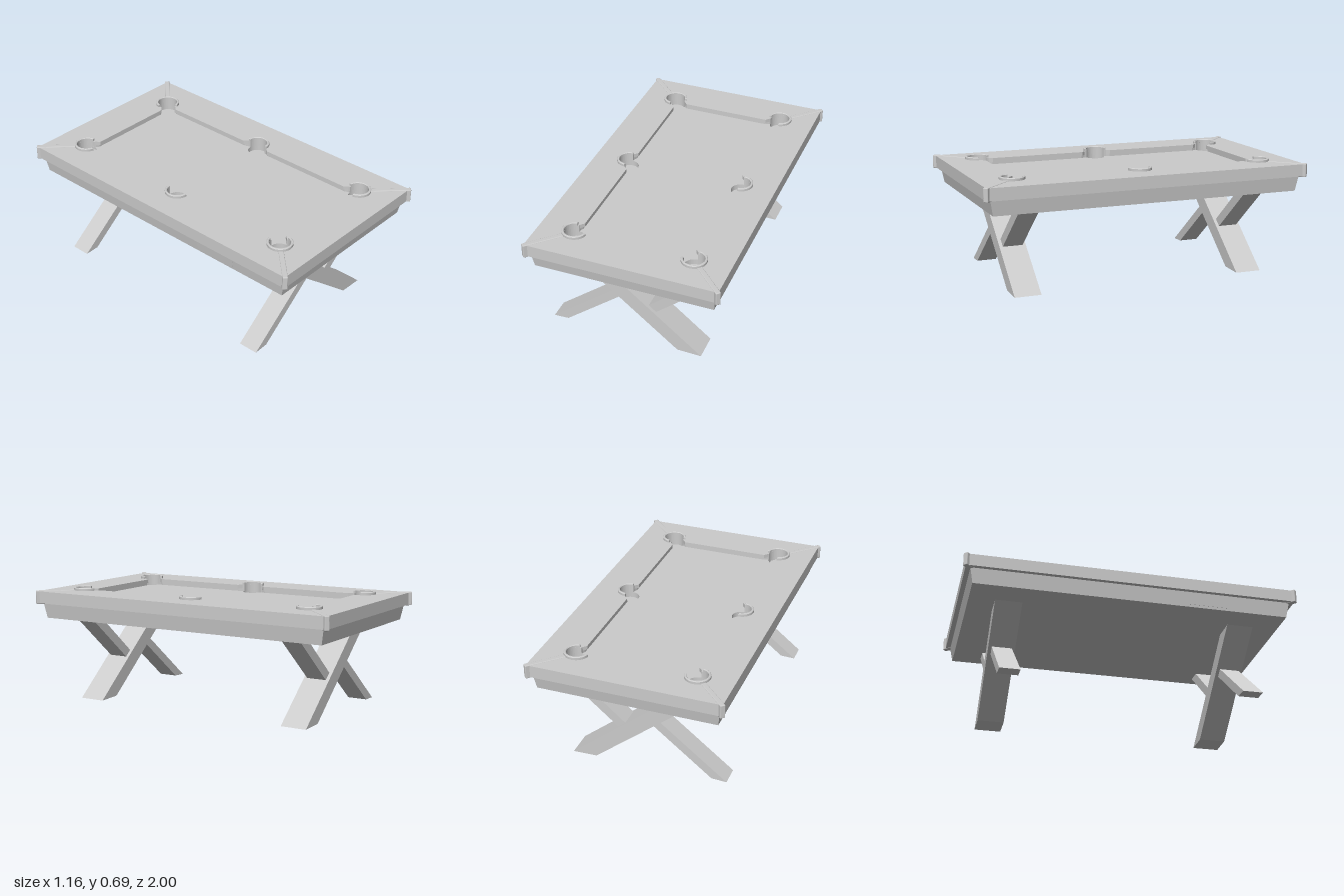
import * as THREE from 'three';
import { RoundedBoxGeometry } from 'three/addons/geometries/RoundedBoxGeometry.js';

const material = new THREE.MeshStandardMaterial({ color: 0xcccccc });

const MID = { x: 0.358, z: 0, r: 0.058 };
const CORNER = { x: 0.356, z: 0.772, r: 0.06 };

function add(parent, name, geometry) {
  const mesh = new THREE.Mesh(geometry, material);
  mesh.name = name;
  parent.add(mesh);
  return mesh;
}

// Extrudes a plan shape upward between two heights
function slab(shape, y0, y1, bevel = 0) {
  const g = new THREE.ExtrudeGeometry(shape, {
    depth: y1 - y0 - bevel, curveSegments: 24, bevelEnabled: bevel > 0,
    bevelSize: bevel, bevelThickness: bevel, bevelOffset: -bevel, bevelSegments: 1,
  });
  g.rotateX(-Math.PI / 2);
  g.translate(0, y0, 0);
  return g;
}

function rectangle(hx, hz) {
  return new THREE.Shape([[-hx, -hz], [hx, -hz], [hx, hz], [-hx, hz]].map(p => new THREE.Vector2(...p)));
}

function arc(c, from, to, n) {
  return Array.from({ length: n + 1 }, (_, i) => {
    const a = from + (to - from) * i / n;
    return new THREE.Vector2(c.x + c.r * Math.cos(a), c.z + c.r * Math.sin(a));
  });
}

// Outline of the playing area: cushions with cut-back ends that open into six pockets
function playOutline(inset) {
  const v = (x, z) => new THREE.Vector2(x, z);
  const quarter = [
    ...arc(MID, 0, Math.PI / 2, 10),
    v(0.356, 0.073), v(0.335 + inset, 0.095), v(0.335 + inset, 0.68), v(0.356, 0.703),
    ...arc(CORNER, -Math.PI / 2, Math.PI, 28),
    v(0.29, 0.766), v(0.27, 0.743 + inset),
  ];
  const flip = (sx, sz) => quarter.map(p => v(p.x * sx, p.y * sz));
  return [...quarter, ...flip(-1, 1).reverse(), ...flip(-1, -1), ...flip(1, -1).reverse()];
}

function rail(y0, y1, inset) {
  const shape = rectangle(0.57, 0.983);
  shape.holes.push(new THREE.Path(playOutline(inset)));
  return slab(shape, y0, y1);
}

// Raised collar that is open on the side facing the playing area
function collar(radius, start, sweep) {
  const s = new THREE.Shape();
  s.absarc(0, 0, radius + 0.014, start, start + sweep, false);
  s.absarc(0, 0, radius, start + sweep, start, true);
  return slab(s, 0.67, 0.693, 0.004);
}

// Leg bar: a side outline extruded along z
function bar(points, z, width) {
  const g = new THREE.ExtrudeGeometry(new THREE.Shape(points.map(p => new THREE.Vector2(...p))),
    { depth: width, bevelEnabled: false });
  g.translate(0, 0, z - width / 2);
  return g;
}

export function createModel() {
  const table = new THREE.Group();
  table.name = 'poolTable';

  // Rails with a cushion nose over a recessed lower part
  add(table, 'lowerRail', rail(0.602, 0.652, 0.012));
  add(table, 'upperRail', rail(0.652, 0.675, 0));

  // Playing bed with pocket holes
  const bedShape = rectangle(0.5, 0.9);
  for (const x of [-1, 1]) for (const z of [-1, 0, 1]) {
    const c = z ? CORNER : MID;
    const hole = new THREE.Path();
    hole.absarc(c.x * x, c.z * z, c.r, 0, Math.PI * 2, true);
    bedShape.holes.push(hole);
  }
  add(table, 'bed', slab(bedShape, 0.6, 0.635));

  // Tapered apron, whose top closes the pockets
  const apron = new THREE.BoxGeometry(1.09, 0.092, 1.91);
  const pos = apron.attributes.position;
  for (let i = 0; i < pos.count; i++) {
    if (pos.getY(i) < 0) pos.setXYZ(i, pos.getX(i) * 0.976, pos.getY(i), pos.getZ(i) * 0.982);
  }
  apron.computeVertexNormals();
  apron.translate(0, 0.556, 0);
  add(table, 'apron', apron);

  // Small return hatch set in one long side of the apron
  const hatch = add(table, 'returnHatch', new THREE.BoxGeometry(0.01, 0.06, 0.26));
  hatch.position.set(-0.535, 0.556, 0.46);
  hatch.rotation.z = 0.14;

  // Pocket collars and diagonal corner strips
  for (const x of [-1, 1]) for (const z of [-1, 0, 1]) {
    const c = z ? CORNER : MID;
    const outward = Math.atan2(-z, x);
    const sweep = z ? Math.PI * 1.4 : Math.PI;
    const ring = add(table, 'pocketCollar', collar(c.r, outward - sweep / 2, sweep));
    ring.position.set(c.x * x, 0, c.z * z);
    if (!z) continue;
    const strip = add(table, 'cornerStrip', new RoundedBoxGeometry(0.24, 0.082, 0.03, 2, 0.005));
    const d = 0.188 * Math.SQRT1_2;
    strip.position.set((c.x + d) * x, 0.638, (c.z + d) * z);
    strip.rotation.y = outward;
  }

  // Crossed legs at each end: one broad bar and two slimmer halves meeting it
  for (const z of [-0.705, 0.705]) {
    const legs = new THREE.Group();
    legs.name = 'crossedLegs';
    add(legs, 'broadLeg', bar([[-0.365, 0.512], [0.26, 0.004], [0.405, 0], [-0.22, 0.512]], z, 0.16));
    add(legs, 'upperSlimLeg', bar([[0.37, 0.512], [0.055, 0.245], [0.1, 0.21], [0.46, 0.512]], z, 0.12));
    add(legs, 'lowerSlimLeg', bar([[-0.53, 0.004], [-0.44, 0.008], [-0.06, 0.31], [-0.105, 0.34]], z, 0.12));
    table.add(legs);
  }
  return table;
}
